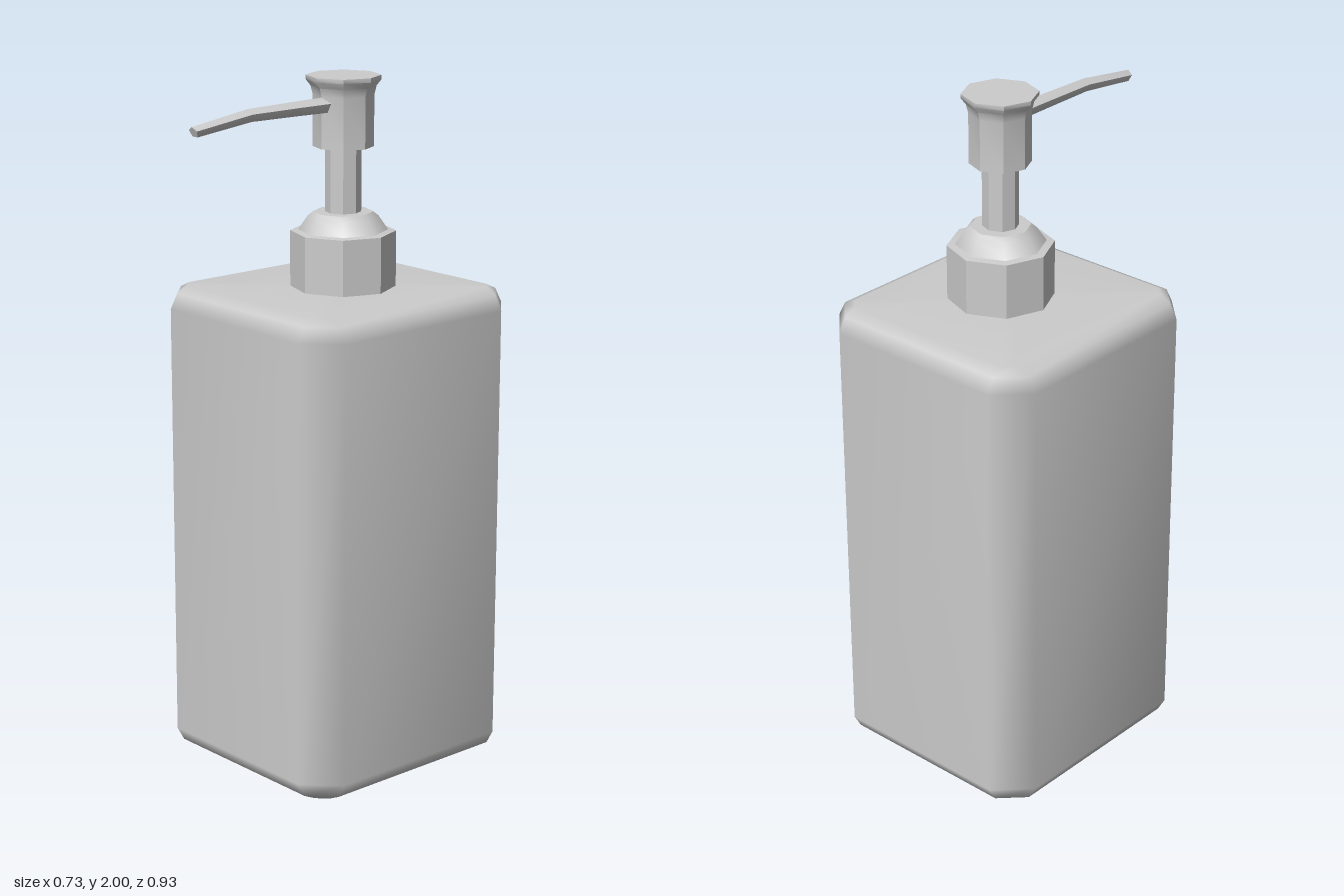
import * as THREE from 'three';
import { toCreasedNormals } from 'three/addons/utils/BufferGeometryUtils.js';

const material = new THREE.MeshStandardMaterial({ color: 0xcccccc });

// Skin a stack of rings (counterclockwise seen from the end) and cap both ends
function loft(rings) {
  const n = rings[0].length;
  const last = (rings.length - 1) * n;
  const points = rings.flat();
  const centre = (ring) => ring
    .reduce((sum, p) => sum.add(p), new THREE.Vector3())
    .divideScalar(n);
  points.push(centre(rings[0]), centre(rings[rings.length - 1]));
  const index = [];
  for (let i = 0; i < n; i++) {
    const j = (i + 1) % n;
    for (let r = 0; r < last; r += n) {
      index.push(r + i, r + j, r + n + j, r + i, r + n + j, r + n + i);
    }
    index.push(last + n, j, i, last + n + 1, last + i, last + j);
  }
  const geometry = new THREE.BufferGeometry().setFromPoints(points);
  geometry.setIndex(index);
  geometry.computeVertexNormals();
  return geometry;
}

// Chamfered rectangle, pulled in by an inset towards the top and bottom edges
function bodyRing(y, inset) {
  const hx = 0.366, hz = 0.388, corner = 0.092;
  const ax = hx - corner, az = hz - corner;
  const ox = hx - inset, oz = hz - inset;
  return [[-ax, oz], [ax, oz], [ox, az], [ox, -az], [ax, -oz], [-ax, -oz], [-ox, -az], [-ox, az]]
    .map(([x, z]) => new THREE.Vector3(x, y, z));
}

// Slightly flattened pentagon across the spout
function spoutRing([y, z, radius, slant]) {
  return Array.from({ length: 5 }, (_, i) => {
    const a = Math.PI / 2 + (i * Math.PI * 2) / 5;
    const dy = Math.sin(a) * radius * 0.85;
    return new THREE.Vector3(Math.cos(a) * radius, y + dy, z + dy * slant);
  });
}

// Eight-sided turned part
function turned(profile) {
  const points = profile.map(([r, y]) => new THREE.Vector2(r, y));
  return toCreasedNormals(new THREE.LatheGeometry(points, 8), 0.7);
}

export function createModel() {
  const model = new THREE.Group();
  model.name = 'soapDispenser';
  const add = (parent, name, geometry) => {
    const mesh = new THREE.Mesh(geometry, material);
    mesh.name = name;
    parent.add(mesh);
    return mesh;
  };

  // Bottle
  const sections = [
    [0, 0.062], [0.018, 0.024], [0.06, 0],
    [1.34, 0], [1.382, 0.024], [1.4, 0.062],
  ];
  const bottle = add(model, 'bottle', loft(sections.map(([y, inset]) => bodyRing(y, inset))));
  bottle.position.z = -0.077;

  // Pump, turned slightly on its axis
  const pump = new THREE.Group();
  pump.name = 'pump';
  pump.position.set(0.021, 0, -0.081);
  pump.rotation.y = 0.05;
  model.add(pump);
  add(pump, 'collar', turned([
    [0, 1.39], [0.15, 1.39], [0.15, 1.56], [0.127, 1.563],
    [0.1, 1.603], [0.085, 1.615], [0, 1.615],
  ]));
  add(pump, 'stem', turned([[0, 1.6], [0.051, 1.6], [0.051, 1.82], [0, 1.82]]));
  add(pump, 'pumpHead', turned([
    [0, 1.8], [0.086, 1.8], [0.086, 1.945], [0.092, 1.97],
    [0.106, 1.988], [0.106, 2], [0, 2],
  ]));

  // Spout: level, then drooping towards its narrower tip
  const stations = [
    [1.922, -0.06, 0.028, 0], [1.922, 0.1, 0.025, 0], [1.921, 0.27, 0.022, 0.1],
    [1.896, 0.459, 0.018, 0.4],
  ];
  const spout = add(model, 'spout', toCreasedNormals(loft(stations.map(spoutRing)), 1.3));
  spout.position.x = 0.026;

  return model;
}
